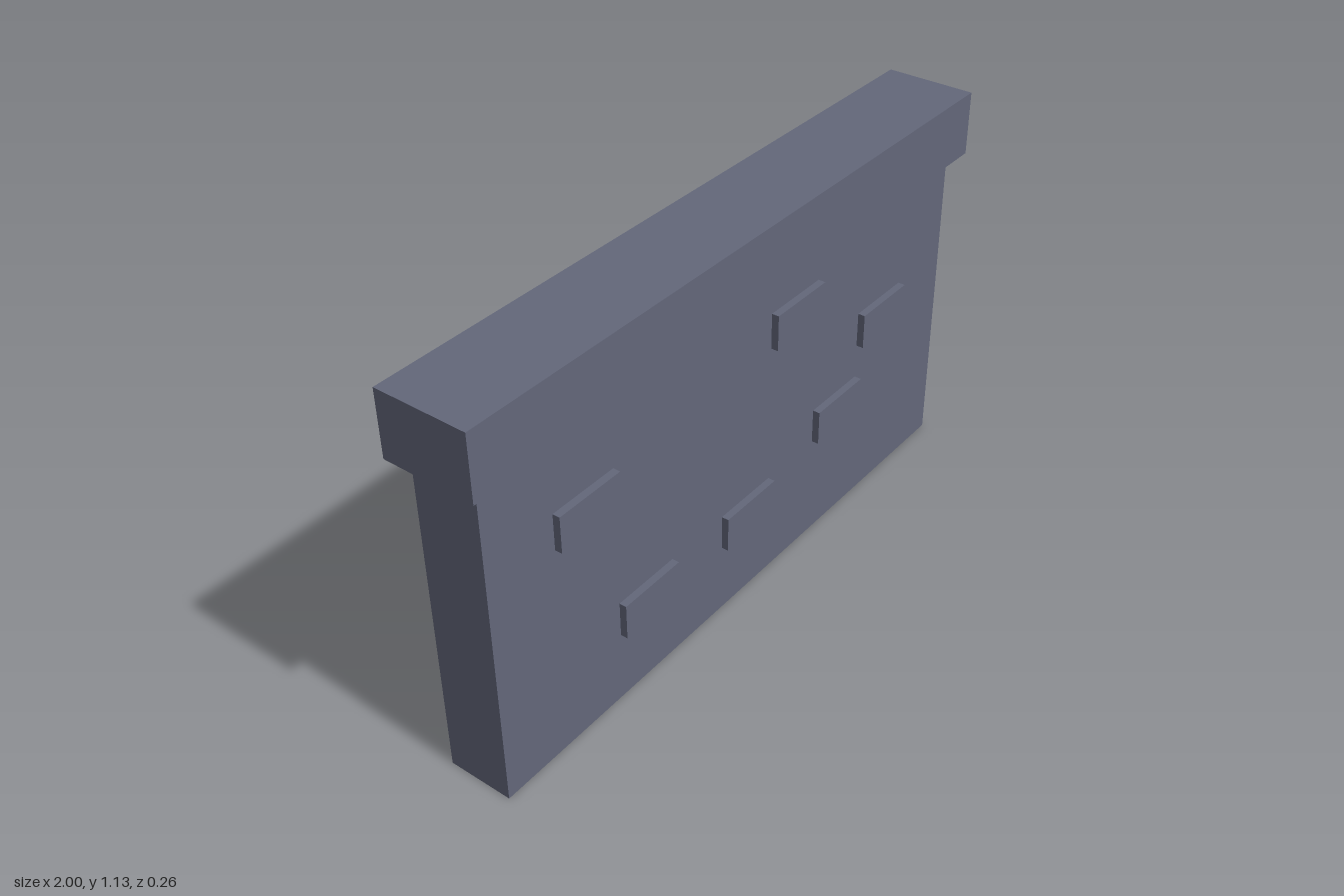
import * as THREE from 'three';

// One grid unit: half a brick's length, and one brick course high
const U = 2 / 19;

export function createModel() {
  const model = new THREE.Group();
  model.name = 'brickWall';
  const stone = new THREE.MeshStandardMaterial({ color: 0x63677a });
  stone.name = 'slate stone';

  // Box resting on height y, sizes in grid units
  function block(name, w, h, d, x, y, z = 0) {
    const mesh = new THREE.Mesh(new THREE.BoxGeometry(w * U, h * U, d * U), stone);
    mesh.name = name;
    mesh.position.set(x * U, (y + h / 2) * U, z * U);
    model.add(mesh);
  }

  // Wall slab and overhanging capstone
  block('wall', 18.2, 9, 1.8, 0, 0);
  block('capstone', 19, 1.76, 2.5, 0, 9);

  // Raised bricks at the same places on the front and the back: [x, bottom course]
  const bricks = [[-6, 6], [2, 7], [6, 5], [4, 3], [0, 2], [-4, 2]];
  for (const [x, y] of bricks) {
    block('frontBrick', 2, 1, 0.2, x, y, 1);
    block('backBrick', 2, 1, 0.2, x, y, -1);
  }
  return model;
}
